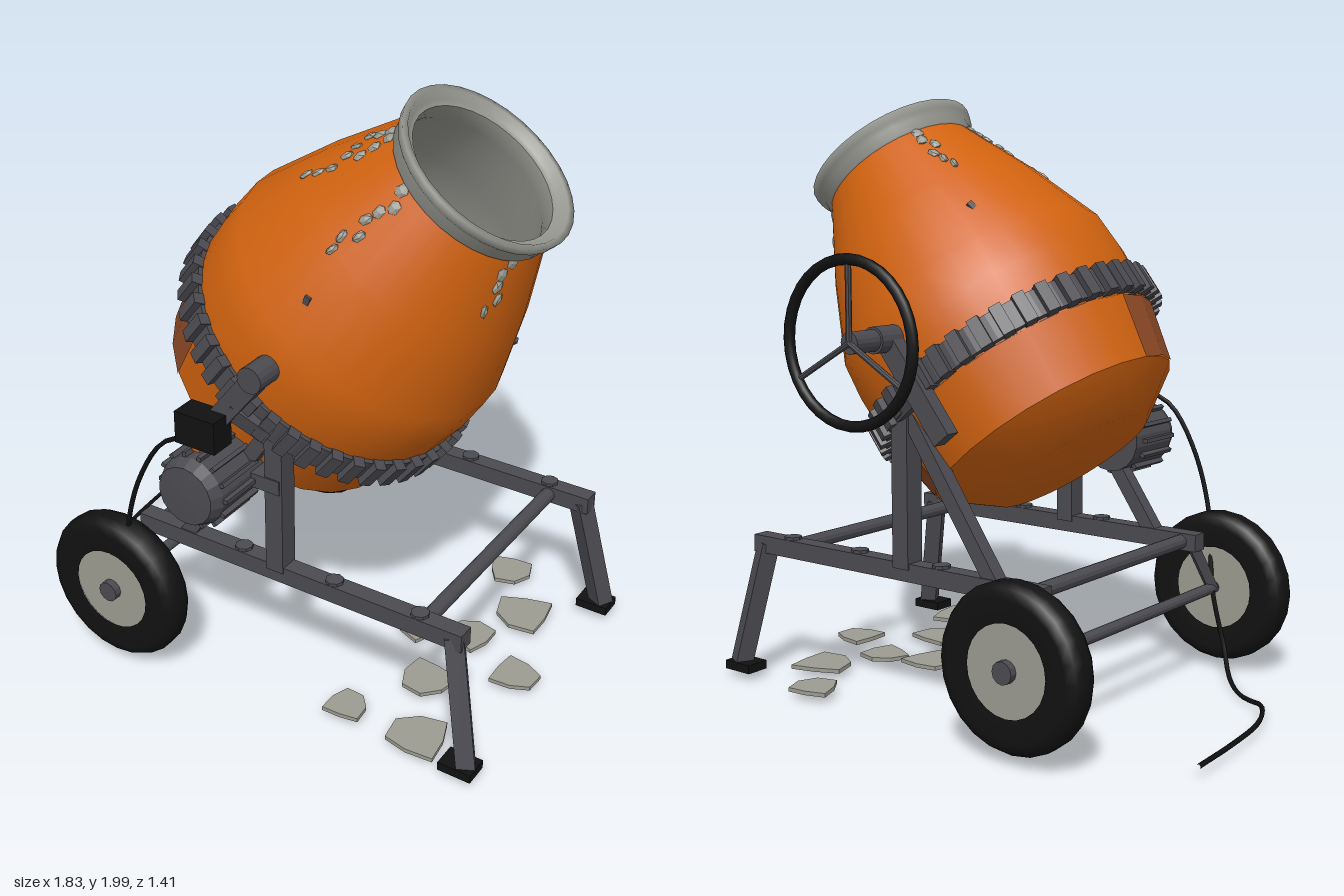
import * as THREE from 'three';

const mat = (name, color, flat = false, side = THREE.FrontSide) => {
  const m = new THREE.MeshStandardMaterial({ color, side });
  m.name = name;
  m.flatShading = flat;
  return m;
};

export function createModel() {
  const orange = mat('orange paint', 0xd0620f);
  const rust = mat('rust', 0x8f4a26, true);
  const steel = mat('dark steel', 0x4a4a50, true);
  const black = mat('black rubber', 0x111112);
  const grey = mat('cement grey', 0x9c9b91, true);
  const metal = mat('bare metal', 0x95958f, false, THREE.DoubleSide);

  const root = new THREE.Group();
  root.name = 'cementMixer';
  const body = new THREE.Group();
  body.name = 'mixer';
  body.position.z = 0.02;
  root.add(body);

  const add = (parent, name, geo, material, x = 0, y = 0, z = 0) => {
    const m = new THREE.Mesh(geo, material);
    m.name = name;
    m.position.set(x, y, z);
    parent.add(m);
    return m;
  };
  const box = (parent, name, material, w, h, d, x, y, z) =>
    add(parent, name, new THREE.BoxGeometry(w, h, d), material, x, y, z);
  // cylinder lying along z
  const cylZ = (parent, name, material, r, length, x, y, z, sides = 16) =>
    add(parent, name, new THREE.CylinderGeometry(r, r, length, sides).rotateX(Math.PI / 2), material, x, y, z);
  // box bar between two points
  const bar = (name, a, b, w, d = w) => {
    const p = new THREE.Vector3(...a), q = new THREE.Vector3(...b);
    const m = box(body, name, steel, w, p.distanceTo(q), d, 0, 0, 0);
    m.position.copy(p).add(q).multiplyScalar(0.5);
    m.quaternion.setFromUnitVectors(new THREE.Vector3(0, 1, 0), q.sub(p).normalize());
    return m;
  };
  const lathe = (pts, segs = 24, start = 0, len = Math.PI * 2) =>
    new THREE.LatheGeometry(pts.map(p => new THREE.Vector2(...p)), segs, start, len);

  // ---- Tilted drum: its own y is the drum axis, origin at the ring gear
  const drum = new THREE.Group();
  drum.name = 'drum';
  drum.position.set(0.045, 1.105, 0);
  drum.rotation.z = -0.66;
  body.add(drum);
  const upper = [[0.49, -0.05], [0.503, 0.05], [0.508, 0.15], [0.5, 0.28], [0.397, 0.55], [0.272, 0.82]];
  add(drum, 'drumUpper', lathe(upper, 32), orange);
  add(drum, 'drumLower', lathe([[0.445, -0.26], [0.49, -0.05]]), orange);
  add(drum, 'drumBase', lathe([[0, -0.38], [0.285, -0.38], [0.445, -0.26]]), orange);
  add(drum, 'drumInside', lathe([[0.25, 0.86], [0.255, 0.8], [0.375, 0.55], [0.47, 0.28], [0.47, -0.05],
    [0.42, -0.25], [0, -0.35]], 32), metal);
  add(drum, 'mouthRim', lathe([[0.268, 0.8], [0.285, 0.81], [0.285, 0.845], [0.3, 0.86], [0.306, 0.89],
    [0.285, 0.89], [0.268, 0.865], [0.25, 0.86]], 32), metal);

  // rust panels on the lower drum
  [[-90, 4], [120, 2]].forEach(([deg, n]) => {
    const s = THREE.MathUtils.degToRad(deg), l = THREE.MathUtils.degToRad(15 * n);
    add(drum, 'rustPanel', lathe([[0.45, -0.26], [0.495, -0.055]], n, s, l), rust);
  });

  // ring gear with teeth
  add(drum, 'ringGear', lathe([[0.48, -0.045], [0.515, -0.045], [0.515, 0.045], [0.49, 0.045]], 42), steel);
  for (let i = 0; i < 42; i++) {
    const a = i / 42 * Math.PI * 2;
    const tooth = box(drum, 'gearTooth', steel, 0.045, 0.1, 0.04, Math.cos(a) * 0.515, 0, Math.sin(a) * 0.515);
    tooth.rotation.y = -a;
  }

  // mixing blades inside
  for (let i = 0; i < 3; i++) {
    const a = Math.PI + 0.5 + i * Math.PI * 2 / 3;
    const blade = box(drum, 'mixingBlade', steel, 0.16, 0.5, 0.02, Math.cos(a) * 0.37, 0.18, Math.sin(a) * 0.37);
    blade.rotation.set(0.3, -a, 0, 'YZX');
  }

  // dried cement drips: angle round the drum, lowest and highest position
  [[107, 0.55, 0.79], [149, 0.52, 0.79], [27, 0.65, 0.8], [-36, 0.66, 0.8], [-148, 0.6, 0.79], [160, 0.68, 0.79]]
    .forEach(([deg, lo, hi], k) => {
      const n = Math.round((hi - lo) / 0.042);
      for (let i = 0; i <= n; i++) {
        const s = lo + (hi - lo) * i / n;
        const r = s < 0.55 ? 0.5 - (s - 0.28) * 0.381 : 0.397 - (s - 0.55) * 0.463;
        const a = THREE.MathUtils.degToRad(deg + 3 * Math.sin(i * 2.3 + k));
        const drip = add(drum, 'cementDrip', new THREE.IcosahedronGeometry(1, 0), grey,
          Math.cos(a) * r, s, Math.sin(a) * r);
        drip.scale.set(0.01, 0.026, 0.012 + 0.009 * i / n);
        drip.rotation.set(0.3 * Math.sin(i * 1.7 + k), -a, 0.43, 'YZX');
      }
    });

  // ---- Frame, mirrored on both sides
  const tyre = lathe([[0.145, -0.05], [0.22, -0.058], [0.25, -0.045], [0.265, -0.02], [0.265, 0.02],
    [0.25, 0.045], [0.22, 0.058], [0.145, 0.05]], 24).rotateX(Math.PI / 2);
  for (const s of [1, -1]) {
    box(body, 'sideRail', steel, 1.23, 0.06, 0.06, 0.205, 0.48, 0.45 * s);
    bar('frontLeg', [0.78, 0.48, 0.45 * s], [0.87, 0.05, 0.505 * s], 0.06);
    box(body, 'foot', black, 0.115, 0.03, 0.085, 0.85, 0.045, 0.505 * s);
    box(body, 'post', steel, 0.065, 0.54, 0.07, 0.143, 0.76, 0.45 * s);
    bar('postBrace', [-0.23, 0.48, 0.45 * s], [0.12, 0.99, 0.45 * s], 0.05);
    bar('axleBracket', [-0.38, 0.47, 0.45 * s], [-0.41, 0.3, 0.54 * s], 0.035);
    bar('trunnionArm', [0.14, 1.23, 0.53 * s], [-0.09, 0.94, 0.53 * s], 0.07, 0.05);
    bar('postBracket', [0.14, 1.0, 0.49 * s], [0.02, 1.08, 0.53 * s], 0.06, 0.05);
    cylZ(body, 'trunnion', steel, 0.043, 0.14, 0.143, 1.235, 0.53 * s);
    for (const x of [0, 0.35, 0.66])
      cylZ(body, 'railBolt', steel, 0.03, 0.03, x, 0.505, 0.45 * s, 8).rotation.x = Math.PI / 2;
    // wheel
    add(body, 'tyre', tyre, black, -0.41, 0.3, 0.6 * s);
    cylZ(body, 'wheelDisc', grey, 0.15, 0.09, -0.41, 0.3, 0.6 * s, 24);
    cylZ(body, 'axleCap', steel, 0.036, 0.05, -0.41, 0.3, 0.645 * s, 12);
  }
  cylZ(body, 'axle', steel, 0.02, 1.3, -0.41, 0.3, 0, 12);
  cylZ(body, 'rearCrossbar', steel, 0.025, 0.9, -0.35, 0.48, 0, 12);
  cylZ(body, 'frontCrossbar', steel, 0.025, 0.9, 0.67, 0.48, 0, 12);

  // ---- Tilting hand wheel
  const hand = new THREE.Group();
  hand.name = 'handWheel';
  hand.position.set(0.143, 1.235, -0.705);
  body.add(hand);
  add(hand, 'handWheelRim', new THREE.TorusGeometry(0.255, 0.018, 10, 36), black);
  cylZ(hand, 'handWheelShaft', steel, 0.035, 0.2, 0, 0, 0.1);
  for (let i = 0; i < 3; i++) {
    const a = Math.PI / 2 + i * Math.PI * 2 / 3;
    const spoke = add(hand, 'spoke', new THREE.CylinderGeometry(0.01, 0.01, 0.25, 8), steel,
      Math.cos(a) * 0.125, Math.sin(a) * 0.125, 0);
    spoke.rotation.z = a - Math.PI / 2;
  }

  // ---- Motor with cooling fins
  const motor = new THREE.Group();
  motor.name = 'motor';
  motor.position.set(-0.052, 0.81, 0);
  body.add(motor);
  add(motor, 'motorBody', lathe([[0, 0.42], [0.115, 0.42], [0.118, 0.64], [0.1, 0.68], [0, 0.685]], 18)
    .rotateX(Math.PI / 2).scale(1, 1, 1), steel);
  for (let i = 0; i < 14; i++) {
    const a = i / 14 * Math.PI * 2;
    const fin = box(motor, 'coolingFin', steel, 0.025, 0.014, 0.18, Math.cos(a) * 0.12, Math.sin(a) * 0.12, 0.55);
    fin.rotation.z = a;
  }
  box(motor, 'motorMount', steel, 0.2, 0.05, 0.08, 0.12, 0, 0.45);

  // ---- Switch box and power cord
  box(body, 'switchBox', black, 0.15, 0.11, 0.09, -0.053, 1.005, 0.575);
  box(body, 'switchButton', orange, 0.03, 0.035, 0.03, -0.053, 0.955, 0.6);
  const cord = [[-0.1, 0.97, 0.6], [-0.19, 0.92, 0.61], [-0.28, 0.77, 0.62], [-0.35, 0.56, 0.61], [-0.42, 0.3, 0.525],
    [-0.48, 0.1, 0.51], [-0.54, 0.03, 0.44], [-0.63, 0.012, 0.345], [-0.71, 0.02, 0.28], [-0.78, 0.035, 0.225],
    [-0.835, 0.04, 0.135], [-0.87, 0.04, 0.03], [-0.895, 0.042, -0.165], [-0.91, 0.045, -0.385]];
  const path = new THREE.CatmullRomCurve3(cord.map(p => new THREE.Vector3(...p)));
  add(body, 'powerCord', new THREE.TubeGeometry(path, 48, 0.008, 6), black);

  // ---- Cement splats on the ground: x, z, radius
  [[0.5, -0.52, 0.08], [0.66, -0.31, 0.1], [0.67, 0.45, 0.1], [0.4, 0.45, 0.07], [0.79, 0.01, 0.08],
    [0.55, 0.19, 0.09], [0.38, -0.06, 0.09], [0.56, -0.1, 0.08]].forEach(([x, z, r], k) => {
    const shape = new THREE.Shape();
    for (let i = 0; i < 7; i++) {
      const a = i / 7 * Math.PI * 2 + k, q = r * (1 + 0.2 * Math.sin(i * 2.6 + k * 1.9));
      shape[i ? 'lineTo' : 'moveTo'](Math.cos(a) * q, Math.sin(a) * q);
    }
    const geo = new THREE.ExtrudeGeometry(shape, { depth: 0.014, bevelEnabled: false }).rotateX(-Math.PI / 2);
    add(body, 'cementSplat', geo, grey, x, 0.028, z);
  });

  return root;
}
